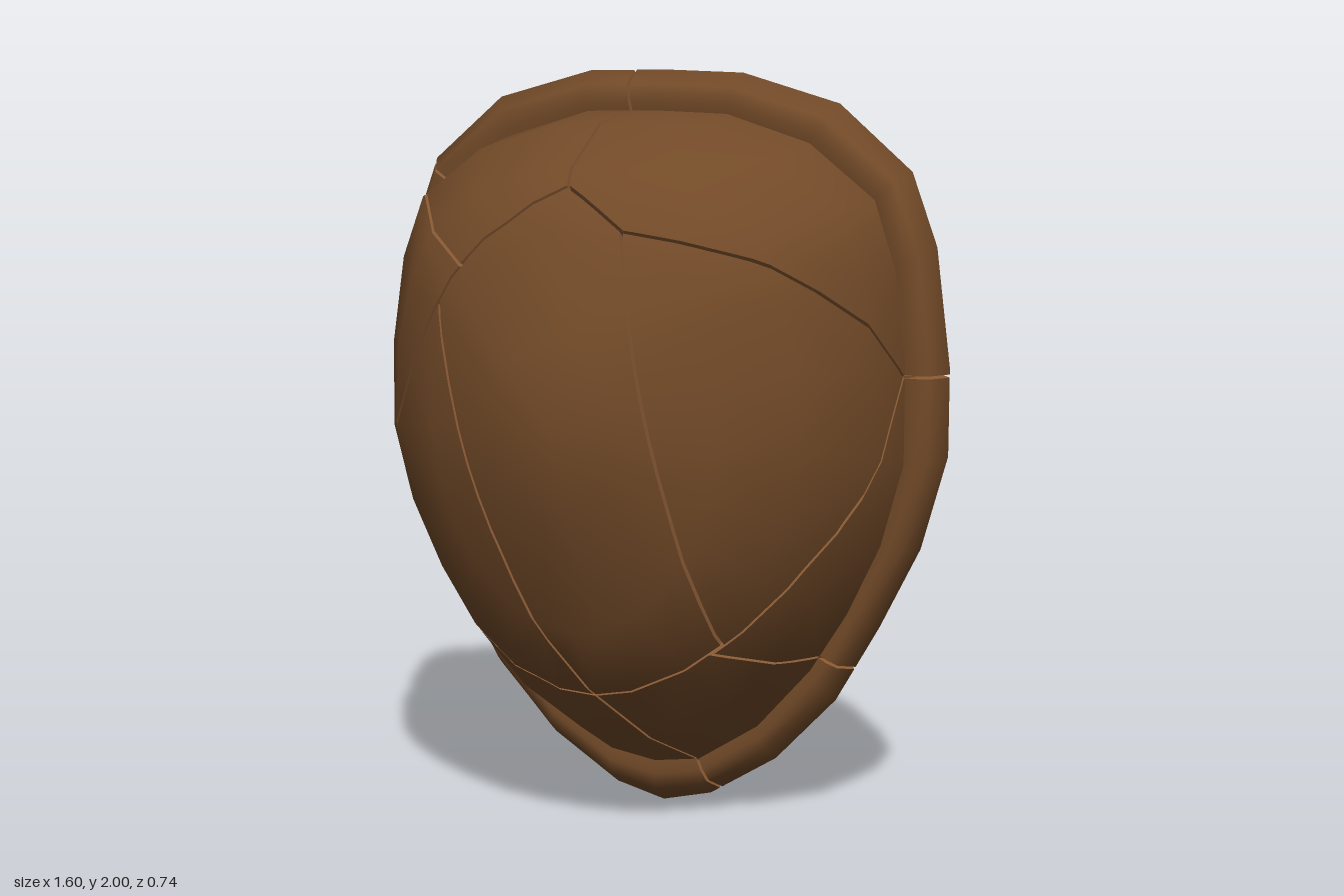
import * as THREE from 'three';
import { mergeVertices } from 'three/addons/utils/BufferGeometryUtils.js';

const brown = new THREE.MeshStandardMaterial({ color: 0x724a28, side: THREE.DoubleSide });
brown.name = 'shell brown';
const cut = new THREE.MeshStandardMaterial({ color: 0x8c5c36, side: THREE.DoubleSide });
cut.name = 'broken edge brown';
const V = (x, y, z) => new THREE.Vector3(x, y, z);

// Half outlines, top to bottom, of the dome's base and of the rim's outer edge
const baseHalf = [[0, 1.895], [0.2, 1.89], [0.43, 1.82], [0.61, 1.68], [0.67, 1.5], [0.7, 1.25], [0.7, 1],
  [0.64, 0.78], [0.55, 0.59], [0.45, 0.43], [0.3, 0.26], [0.13, 0.15], [0, 0.13]];
const rimHalf = [[0, 2], [0.22, 1.995], [0.49, 1.92], [0.69, 1.75], [0.76, 1.56], [0.8, 1.25], [0.8, 1.02],
  [0.73, 0.77], [0.62, 0.55], [0.5, 0.34], [0.33, 0.16], [0.14, 0.04], [0, 0.005]];
const mirror = half => [...half, ...half.slice(1, -1).reverse().map(([x, y]) => [-x, y])];
const base = mirror(baseHalf), edge = mirror(rimHalf), N = base.length;

// Skin a stack of closed loops; each point also keeps a core point inside the wall
function loft(loops, cores, flip) {
  const index = [];
  for (let l = 0; l < loops.length - 1; l++) {
    for (let i = 0; i < N; i++) {
      const a = l * N + i, b = l * N + (i + 1) % N, c = a + N, d = b + N;
      if (flip) index.push(a, b, c, b, d, c);
      else index.push(a, c, b, b, c, d);
    }
  }
  const flat = list => new THREE.Float32BufferAttribute(list.flat().flatMap(p => p.toArray()), 3);
  let g = new THREE.BufferGeometry();
  g.setAttribute('position', flat(loops));
  g.setAttribute('core', flat(cores));
  g.setIndex(index);
  g = mergeVertices(g);
  g.computeVertexNormals();
  return g;
}

// Dome levels: z, centre y, half width, half height, blend from outline to ellipse
const levels = [[-0.27, 1.012, 0.7, 0.882, 0], [-0.07, 1.055, 0.69, 0.815, 0.1], [0.13, 1.095, 0.57, 0.675, 0.4],
  [0.25, 1.105, 0.4, 0.51, 0.7], [0.35, 1.135, 0.18, 0.22, 1], [0.374, 1.12, 0, 0, 1]];
const innerLevels = levels.map(([z, cy, hw, hh, b], i) =>
  [i ? z - 0.045 : -0.31, cy, Math.max(0, hw - 0.04), Math.max(0, hh - 0.04), b]);
function domeLoop([z, cy, hw, hh, blend]) {
  return base.map(([x, y]) => {
    const u = x / 0.7, v = (y - 1.012) / 0.882;
    const k = 1 + (1 / Math.hypot(u, v) - 1) * blend;
    return V(u * k * hw, cy + v * k * hh, z);
  });
}

// Rim section: 0 = dome base, 1 = outer edge; paired with z
const section = [[0, -0.27], [0.3, -0.265], [0.65, -0.272], [1, -0.33], [0.7, -0.368], [0, -0.355], [-0.4, -0.31]];
const rimLoop = ([f, z]) => base.map(([x, y], i) =>
  V(THREE.MathUtils.lerp(x, edge[i][0], f), THREE.MathUtils.lerp(y, edge[i][1], f), z));

// Where cracks meet, and the plane of each crack
const C = V(0, 1.08, -0.29);
const top = V(-0.05, 1.72, 0.16), notch = V(-0.32, 1.51, 0.2), west = V(-0.38, 1.39, 0.21), north = V(0.13, 1.62, 0.23);
const east = V(0.36, 0.52, 0.12), south = V(0, 0.4, 0.11), rimWest = V(-0.57, 0.63, -0.26), rimEast = V(0.7, 1.23, -0.26);
const behind = p => V(p.x, p.y, -1);
const planes = {
  rimTop: [top, V(-0.09, 2, -0.3), behind(top)],
  topNotch: [top, notch, C],
  rimNotch: [notch, V(-0.7, 1.74, -0.3), behind(notch)],
  westSide: [notch, V(-0.57, 1.08, 0.13), rimWest],
  rimWest: [rimWest, V(-0.66, 0.6, -0.3), behind(rimWest)],
  westSouth: [west, V(-0.2, 0.85, 0.28), south],
  lowerWest: [south, V(-0.3, 0.43, 0.04), rimWest],
  topNorth: [top, north, C],
  northEast: [north, V(0.27, 1, 0.31), east],
  southEast: [south, east, C],
  northRim: [north, rimEast, V(1, 1.62, 0.23)],
  eastRim: [east, V(0.685, 1, -0.1), rimEast],
  lowerEast: [east, V(0.56, 0.43, -0.3), behind(east)],
  rimEast: [rimEast, V(0.8, 1.23, -0.3), behind(rimEast)],
  rimBottom: [south, V(0.17, 0.06, -0.3), behind(south)],
};

// Broken pieces: name, a point on the piece, its bounding cracks
const pieces = [
  ['upperRight', V(-0.3, 1.72, 0), ['rimTop', 'topNotch', 'rimNotch']],
  ['middleRight', V(-0.6, 1.2, 0), ['rimNotch', 'westSide', 'rimWest']],
  ['lowerRight', V(-0.35, 0.8, 0.15), ['westSide', 'westSouth', 'lowerWest']],
  ['centre', V(0, 1.1, 0.37), ['topNotch', 'westSide', 'westSouth', 'topNorth', 'northEast', 'southEast']],
  ['middleLeft', V(0.55, 1.1, 0.15), ['northEast', 'northRim', 'eastRim']],
  ['lowerLeft', V(0.62, 0.75, -0.2), ['eastRim', 'lowerEast', 'rimEast']],
  ['upperLeft', V(0.4, 1.7, -0.1), ['rimTop', 'topNorth', 'northRim', 'rimEast']],
  ['bottomRight', V(-0.2, 0.28, -0.1), ['lowerWest', 'rimWest', 'rimBottom']],
  ['bottomLeft', V(0.3, 0.3, -0.15), ['southEast', 'lowerEast', 'rimBottom']],
];
const HALF_GAP = 0.004;

// Keep the part of a polygon in front of a plane
function clip(poly, plane) {
  const out = [];
  poly.forEach((a, i) => {
    const b = poly[(i + 1) % poly.length];
    const da = plane.distanceToPoint(a.position), db = plane.distanceToPoint(b.position);
    if (da >= 0) out.push(a);
    if (da >= 0 !== db >= 0) {
      const t = da / (da - db), v = {};
      for (const key in a) v[key] = a[key].clone().lerp(b[key], t);
      out.push(v);
    }
  });
  return out;
}

// Part of a surface between planes; broken edges are added to walls
function breakOff(geometry, bounds, walls) {
  const pos = [], nor = [], index = geometry.index.array;
  const vertex = i => Object.fromEntries(['position', 'normal', 'core'].map(key =>
    [key, new THREE.Vector3().fromBufferAttribute(geometry.attributes[key], i)]));
  for (let t = 0; t < index.length; t += 3) {
    let poly = [vertex(index[t]), vertex(index[t + 1]), vertex(index[t + 2])];
    for (const plane of bounds) poly = clip(poly, plane);
    for (let i = 1; i < poly.length - 1; i++) {
      for (const v of [poly[0], poly[i], poly[i + 1]]) {
        pos.push(...v.position.toArray());
        nor.push(...v.normal.toArray());
      }
    }
    poly.forEach((a, i) => {
      const b = poly[(i + 1) % poly.length];
      const plane = bounds.find(p => [a, b].every(v => Math.abs(p.distanceToPoint(v.position)) < 1e-6));
      if (!plane || a.position.distanceTo(a.core) < 1e-4) return;
      const [ca, cb] = [a, b].map(v => plane.projectPoint(v.core, V(0, 0, 0)));
      for (const p of [a.position, ca, b.position, b.position, ca, cb]) walls.push(...p.toArray());
    });
  }
  const g = new THREE.BufferGeometry();
  g.setAttribute('position', new THREE.Float32BufferAttribute(pos, 3));
  g.setAttribute('normal', new THREE.Float32BufferAttribute(nor, 3));
  return g;
}

export function createModel() {
  const model = new THREE.Group();
  const outer = levels.map(domeLoop), inner = innerLevels.map(domeLoop);
  const surfaces = {
    outerDome: loft(outer, inner, false),
    innerDome: loft(inner, inner, true),
    rim: loft(section.map(rimLoop), section.map(() => rimLoop([0.3, -0.318])), true),
  };
  for (const [name, point, cracks] of pieces) {
    const piece = new THREE.Group();
    piece.name = name + 'Piece';
    model.add(piece);
    const add = (part, geometry, material) => {
      if (!geometry.attributes.position.count) return;
      const mesh = new THREE.Mesh(geometry, material);
      mesh.name = part;
      piece.add(mesh);
    };
    const bounds = cracks.map(crack => {
      const plane = new THREE.Plane().setFromCoplanarPoints(...planes[crack]);
      if (plane.distanceToPoint(point) < 0) plane.negate();
      plane.constant -= HALF_GAP;
      return plane;
    });
    const walls = [];
    for (const part in surfaces) add(part, breakOff(surfaces[part], bounds, walls), brown);
    const wallGeometry = new THREE.BufferGeometry();
    wallGeometry.setAttribute('position', new THREE.Float32BufferAttribute(walls, 3));
    wallGeometry.computeVertexNormals();
    add('brokenEdges', wallGeometry, cut);
  }
  return model;
}
